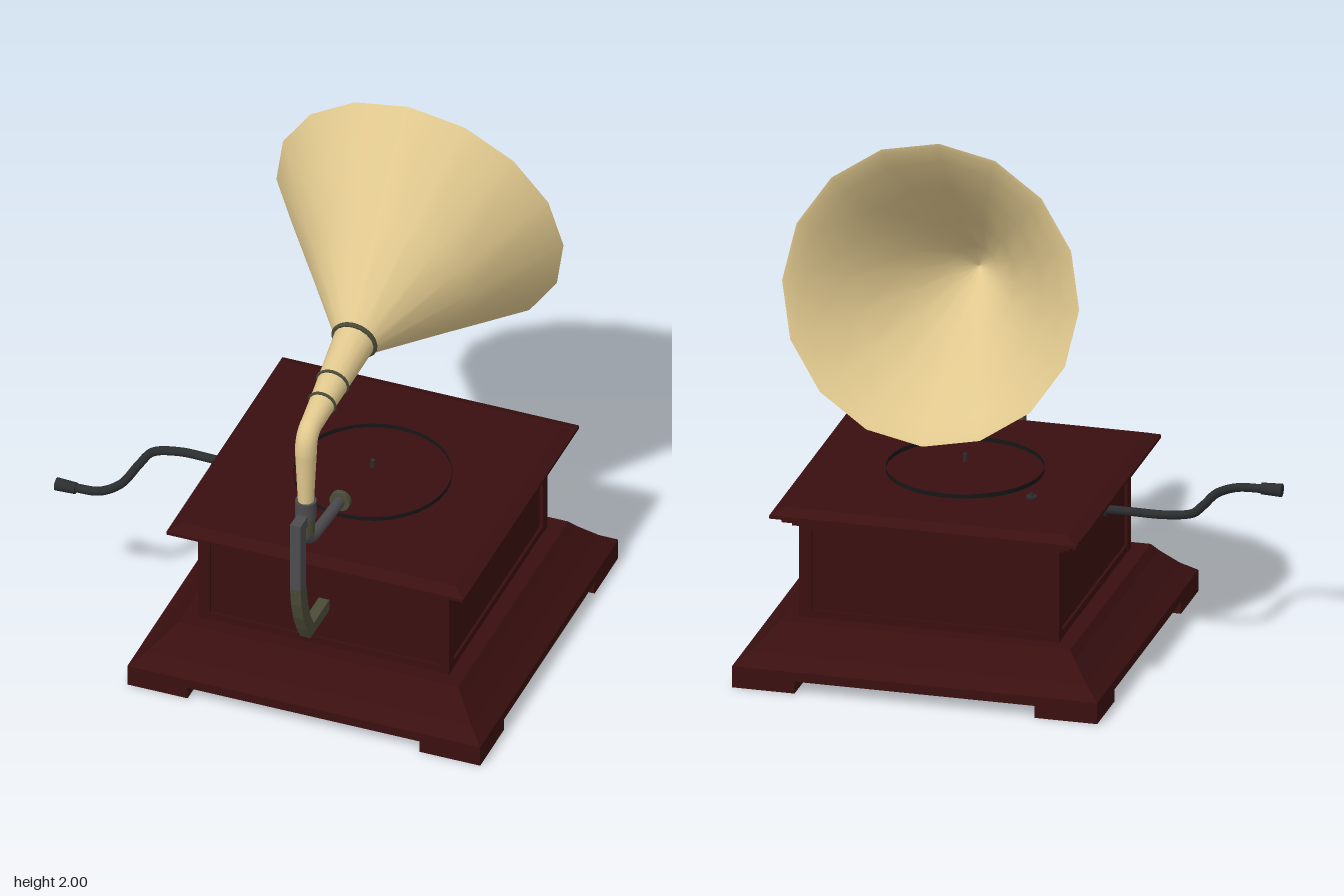
import * as THREE from 'three';

const paint = (name, color, side = THREE.FrontSide) => {
  const m = new THREE.MeshStandardMaterial({ color, side });
  m.name = name;
  return m;
};
const v2 = (pts) => pts.map(([x, y]) => new THREE.Vector2(x, y));
const v3 = (pts) => pts.map(([x, y, z]) => new THREE.Vector3(x, y, z));

export function createModel() {
  const wood = paint('mahogany', 0x3a0f10);
  const brass = paint('pale brass', 0xe0c88e);
  const steel = paint('steel', 0x4c4c4f);
  const aged = paint('aged bronze', 0x4b4c37);
  const iron = paint('dark iron', 0x2b2d2f);
  const black = paint('black', 0x161618, THREE.DoubleSide);

  const root = new THREE.Group();
  root.name = 'gramophone';
  const model = new THREE.Group();
  model.name = 'turnedBody';
  model.rotation.y = THREE.MathUtils.degToRad(25);
  root.add(model);

  const add = (name, geo, mat, pos = [0, 0, 0], parent = model) => {
    const m = new THREE.Mesh(geo, mat);
    m.name = name;
    m.position.set(...pos);
    parent.add(m);
    return m;
  };
  const box = (name, size, mat, pos) => add(name, new THREE.BoxGeometry(...size), mat, pos);

  // Square moulding from [half width, height] points, with flat faces
  const moulding = (name, pts) => {
    const geo = new THREE.LatheGeometry(v2(pts.map(([h, y]) => [h * Math.SQRT2, y])), 4, Math.PI / 4).toNonIndexed();
    geo.computeVertexNormals();
    return add(name, geo, wood);
  };

  // Cabinet
  moulding('plinth', [[0, 0.045], [0.666, 0.045], [0.666, 0.08], [0.613, 0.122], [0.553, 0.186], [0.53, 0.215], [0, 0.215]]);
  moulding('lid', [[0, 0.565], [0.495, 0.565], [0.495, 0.58], [0.525, 0.585], [0.525, 0.6], [0.56, 0.608], [0.56, 0.62], [0.515, 0.64], [0, 0.64]]);
  box('cabinetPanels', [0.924, 0.36, 0.924], wood, [0, 0.39, 0]);
  box('lowerRail', [0.944, 0.03, 0.944], wood, [0, 0.228, 0]);
  box('upperRail', [0.944, 0.03, 0.944], wood, [0, 0.552, 0]);
  for (const sx of [-1, 1]) {
    for (const sz of [-1, 1]) {
      box('foot', [0.228, 0.05, 0.228], wood, [sx * 0.552, 0.025, sz * 0.552]);
      box('cornerPost', [0.045, 0.36, 0.045], wood, [sx * 0.4515, 0.39, sz * 0.4515]);
    }
  }

  // Turntable rim, spindle and small brake knob
  add('turntableRim', new THREE.CylinderGeometry(0.28, 0.28, 0.018, 32, 1, true), black, [0, 0.647, 0]);
  add('spindle', new THREE.CylinderGeometry(0.008, 0.008, 0.03, 8), iron, [0, 0.687, 0]);
  add('brakeStem', new THREE.CylinderGeometry(0.006, 0.006, 0.022, 8), iron, [-0.3, 0.65, -0.207]);
  add('brakeKnob', new THREE.CylinderGeometry(0.02, 0.02, 0.006, 10), iron, [-0.3, 0.648, -0.207]);

  // Horn: the local y axis runs out through the mouth
  const tilt = THREE.MathUtils.degToRad(11.5);
  const horn = new THREE.Group();
  horn.name = 'horn';
  horn.position.set(0, 1.47, -0.455);
  horn.rotation.x = tilt - Math.PI / 2;
  model.add(horn);
  const lathe = (name, pts) => add(name, new THREE.LatheGeometry(v2(pts), 16), brass, [0, 0, 0], horn);
  lathe('hornOutside', [[0.076, -0.645], [0.308, -0.322], [0.542, 0]]);
  lathe('hornInside', [[0.542, 0], [0.525, -0.008], [0.47, -0.05], [0.36, -0.17], [0.2, -0.4], [0.08, -0.6], [0, -0.66]]);
  lathe('hornNeck', [[0.038, -1.08], [0.047, -0.96], [0.056, -0.858], [0.076, -0.64]]);
  for (const [s, r, t] of [[0.645, 0.078, 0.009], [0.858, 0.057, 0.006], [0.96, 0.048, 0.006]]) {
    add('neckBand', new THREE.TorusGeometry(r, t, 6, 20), aged, [0, -s, 0], horn).rotation.x = Math.PI / 2;
  }

  // Elbow and upright pipe
  const bend = new THREE.QuadraticBezierCurve3(...v3([[0, 1.17, 0.645], [0, 1.245, 0.645], [0, 1.257, 0.594]]));
  add('elbow', new THREE.TubeGeometry(bend, 10, 0.039, 14), brass);
  add('uprightPipe', new THREE.CylinderGeometry(0.039, 0.028, 0.23, 14), brass, [0, 1.06, 0.645]);
  add('collar', new THREE.CylinderGeometry(0.038, 0.038, 0.07, 14), steel, [0, 0.93, 0.645]);
  add('lowerCollar', new THREE.CylinderGeometry(0.033, 0.033, 0.07, 14), aged, [0, 0.865, 0.645]);

  // Bracket holding the pipe to the cabinet, drawn in side outline as [z, y]
  box('bracketClamp', [0.038, 0.045, 0.07], steel, [0, 0.897, 0.685]);
  box('bracketBar', [0.04, 0.28, 0.053], steel, [0, 0.78, 0.7205]);
  const outline = [[0.747, 0.64], [0.738, 0.57], [0.718, 0.5], [0.685, 0.43], [0.65, 0.372], [0.47, 0.372],
    [0.47, 0.417], [0.62, 0.417], [0.65, 0.47], [0.675, 0.54], [0.694, 0.64]];
  const arm = new THREE.ExtrudeGeometry(new THREE.Shape(v2(outline)), { depth: 0.04, bevelEnabled: false });
  arm.rotateY(-Math.PI / 2).scale(1, 1, 1).translate(0.02, 0, 0);
  add('bracketFoot', arm, aged);

  // Tone arm and sound box
  const tone = new THREE.CatmullRomCurve3(v3([[0, 0.84, 0.645], [0, 0.8, 0.637], [0, 0.768, 0.59], [0, 0.755, 0.5], [0, 0.738, 0.32]]));
  add('toneArm', new THREE.TubeGeometry(tone, 24, 0.021, 10), steel);
  add('soundBox', new THREE.CylinderGeometry(0.038, 0.038, 0.022, 16), aged, [0, 0.737, 0.312]).rotation.x = Math.PI / 2;

  // Winding crank
  const rod = new THREE.CatmullRomCurve3(v3([[-0.46, 0.545, 0], [-0.6, 0.545, 0], [-0.73, 0.545, 0.002], [-0.815, 0.545, 0.037],
    [-0.833, 0.545, 0.12], [-0.852, 0.545, 0.26], [-0.905, 0.545, 0.324], [-1.0, 0.545, 0.336]]));
  add('crankRod', new THREE.TubeGeometry(rod, 48, 0.016, 10), iron);
  add('crankBoss', new THREE.CylinderGeometry(0.026, 0.026, 0.05, 12), iron, [-0.49, 0.545, 0]).rotation.z = Math.PI / 2;
  add('crankHandle', new THREE.CylinderGeometry(0.024, 0.021, 0.075, 12), iron, [-1.025, 0.545, 0.338]).rotation.z = Math.PI / 2;

  return root;
}
